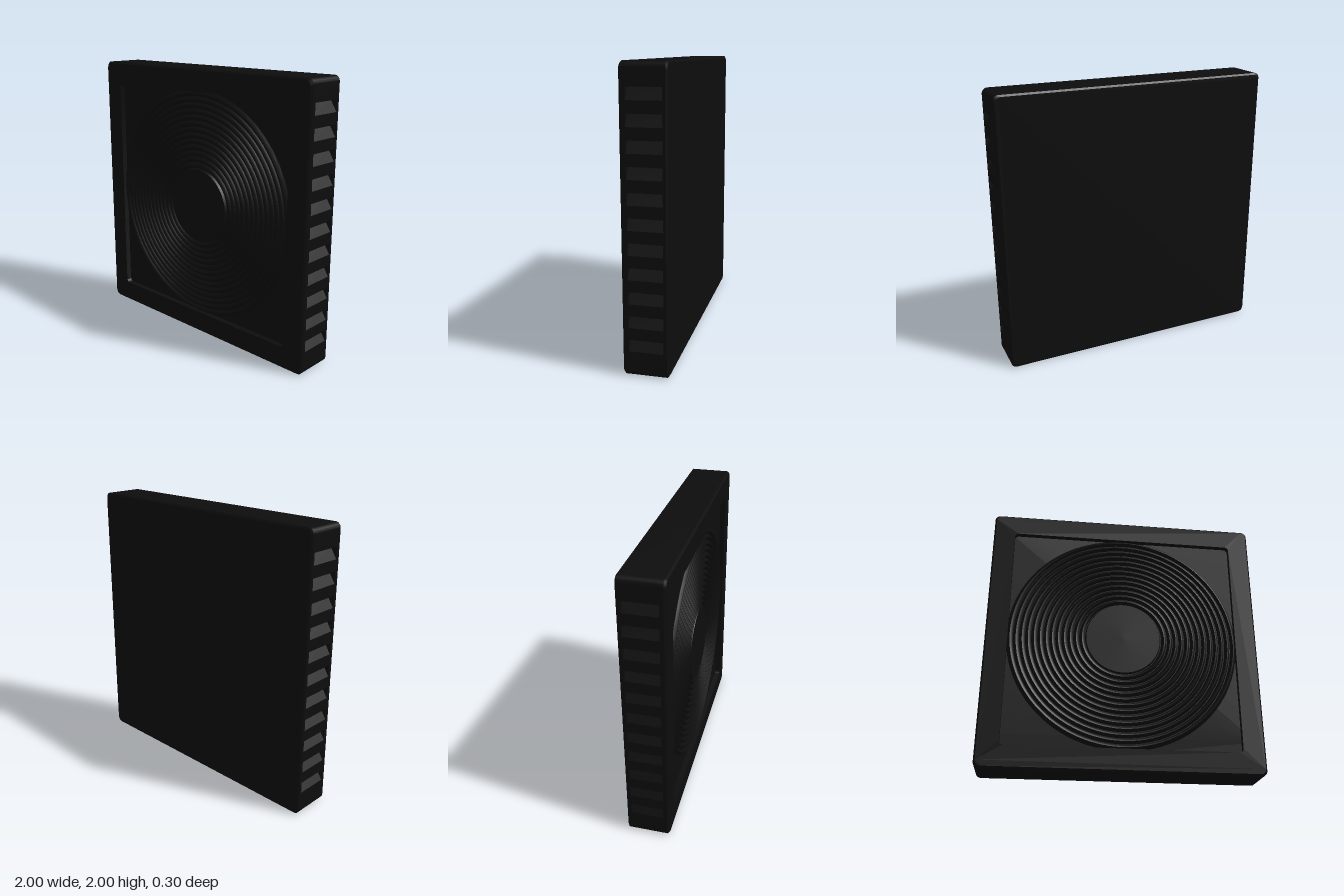
import * as THREE from 'three';
import { toCreasedNormals } from 'three/addons/utils/BufferGeometryUtils.js';

const RADIUS = 0.04;        // outer corner radius
const Z_FRONT = 0.11;       // front end of the louvred core
const Z_BACK = -0.12;       // back end of the louvred core
const SKIN_FRONT = 0.04, SKIN_BACK = 0.03;

// Square of half size s with rounded corners; sidePoints(s) may add notches up the right side
function squareOutline(s, r, Type = THREE.Shape, notches = []) {
  const c = s - r, p = new Type();
  p.moveTo(-c, -s);
  p.lineTo(c, -s);
  p.absarc(c, -c, r, -Math.PI / 2, 0, false);
  notches.forEach(([x, y]) => p.lineTo(x, y));
  p.lineTo(s, c);
  p.absarc(c, c, r, 0, Math.PI / 2, false);
  p.lineTo(-c, s);
  p.absarc(-c, c, r, Math.PI / 2, Math.PI, false);
  [...notches].reverse().forEach(([x, y]) => p.lineTo(-x, y));
  p.lineTo(-s, -c);
  p.absarc(-c, -c, r, Math.PI, Math.PI * 1.5, false);
  return p;
}

// Flat slab whose outer edge is chamfered on its far end
function chamferedSlab(shape, depth) {
  const geo = new THREE.ExtrudeGeometry(shape, { depth, steps: 3, bevelEnabled: false, curveSegments: 8 });
  const p = geo.attributes.position;
  for (let i = 0; i < p.count; i++) {
    if (p.getZ(i) > depth - 1e-4 && Math.max(Math.abs(p.getX(i)), Math.abs(p.getY(i))) > 0.9) {
      p.setXY(i, p.getX(i) * 0.988, p.getY(i) * 0.988);
    }
  }
  return toCreasedNormals(geo, 0.5);
}

export function createModel() {
  const group = new THREE.Group();
  const material = new THREE.MeshStandardMaterial({ color: 0x0d0d0d });
  const add = (name, geometry) => {
    const mesh = new THREE.Mesh(geometry, material);
    mesh.name = name;
    mesh.position.y = 1;
    group.add(mesh);
    return mesh;
  };

  // Core: eleven sloping louvre pockets cut into each side
  const notches = [];
  for (let i = 10; i >= 0; i--) {
    const top = 0.85 - 0.16 * i;
    notches.push([1, top - 0.08], [0.95, top], [1, top]);
  }
  const core = new THREE.ExtrudeGeometry(squareOutline(1, RADIUS, THREE.Shape, notches), {
    depth: Z_FRONT - Z_BACK, bevelEnabled: false, curveSegments: 8,
  });
  add('louvredCore', toCreasedNormals(core, 0.5)).position.z = Z_BACK;

  // Front frame around the square recess
  const frame = squareOutline(1, RADIUS);
  frame.holes.push(squareOutline(0.84, 0.03, THREE.Path));
  add('frontFrame', chamferedSlab(frame, SKIN_FRONT)).position.z = Z_FRONT;

  // Back panel, turned to face the rear
  const back = add('backPanel', chamferedSlab(squareOutline(1, RADIUS), SKIN_BACK));
  back.position.z = Z_BACK;
  back.rotation.y = Math.PI;

  // Round grille: concentric ridges running in to a flat central cap
  const profile = [new THREE.Vector2(0.85, 0)];
  const rings = 13, outer = 0.845, hub = 0.28, pitch = (outer - hub) / rings;
  for (let i = 0; i < rings; i++) {
    const r = outer - i * pitch;
    profile.push(
      new THREE.Vector2(r, 0.004),
      new THREE.Vector2(r - pitch * 0.2, 0.017),
      new THREE.Vector2(r - pitch * 0.45, 0.022),
      new THREE.Vector2(r - pitch * 0.7, 0.017),
      new THREE.Vector2(r - pitch * 0.9, 0.004),
    );
  }
  profile.push(new THREE.Vector2(hub, 0.004), new THREE.Vector2(hub - 0.008, 0.02), new THREE.Vector2(0, 0.02));
  const grille = toCreasedNormals(new THREE.LatheGeometry(profile, 96).rotateX(Math.PI / 2), 0.7);
  add('ringGrille', grille).position.z = Z_FRONT;

  return group;
}
